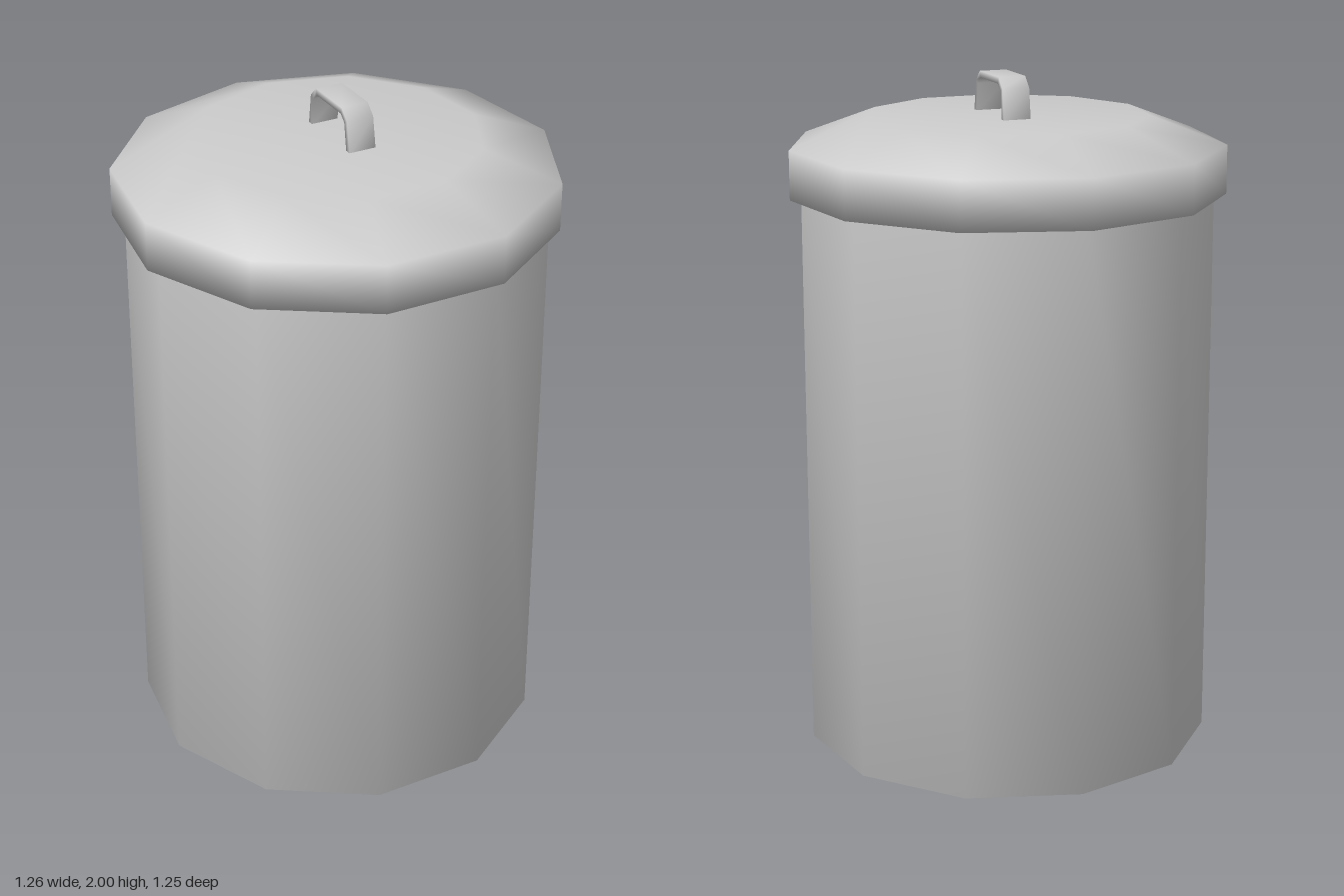
import * as THREE from 'three';
import { mergeVertices } from 'three/addons/utils/BufferGeometryUtils.js';

const SIDES = 11;
const material = new THREE.MeshStandardMaterial({ color: 0xcccccc, side: THREE.DoubleSide });

// Eleven-sided turned part with one corner pointing to the back
function turned(name, profile, z) {
  const points = profile.map(([r, y]) => new THREE.Vector2(r, y));
  const mesh = new THREE.Mesh(new THREE.LatheGeometry(points, SIDES, Math.PI), material);
  mesh.name = name;
  mesh.position.z = z;
  return mesh;
}

// Flat strap bent over the lid, profile given as [z, y]
function strapHandle() {
  const outer = [[0.133, 1.875], [0.117, 1.97], [0.086, 2], [-0.064, 2], [-0.095, 1.97], [-0.108, 1.875]];
  const inner = [[-0.09, 1.875], [-0.081, 1.962], [-0.058, 1.981], [0.08, 1.981], [0.101, 1.962], [0.114, 1.875]];
  const shape = new THREE.Shape([...outer, ...inner].map(([z, y]) => new THREE.Vector2(z, y)));
  let geometry = new THREE.ExtrudeGeometry(shape, { depth: 0.082, bevelEnabled: false });
  geometry.rotateY(-Math.PI / 2).translate(0.055, 0, 0);
  // Weld all corners so the shading is soft
  geometry.deleteAttribute('uv');
  geometry.deleteAttribute('normal');
  geometry = mergeVertices(geometry);
  geometry.computeVertexNormals();
  const mesh = new THREE.Mesh(geometry, material);
  mesh.name = 'lidHandle';
  return mesh;
}

export function createModel() {
  const bin = new THREE.Group();
  bin.name = 'trashCan';

  // Straight body with a closed base
  bin.add(turned('body', [[0, 0], [0.604, 0], [0.604, 1.66]], 0.014));

  // Lid with upright rim, sloped shoulder and flat top
  bin.add(turned('lid', [[0, 1.655], [0.638, 1.655], [0.638, 1.798], [0.415, 1.882], [0, 1.882]], 0.01));

  bin.add(strapHandle());
  return bin;
}
